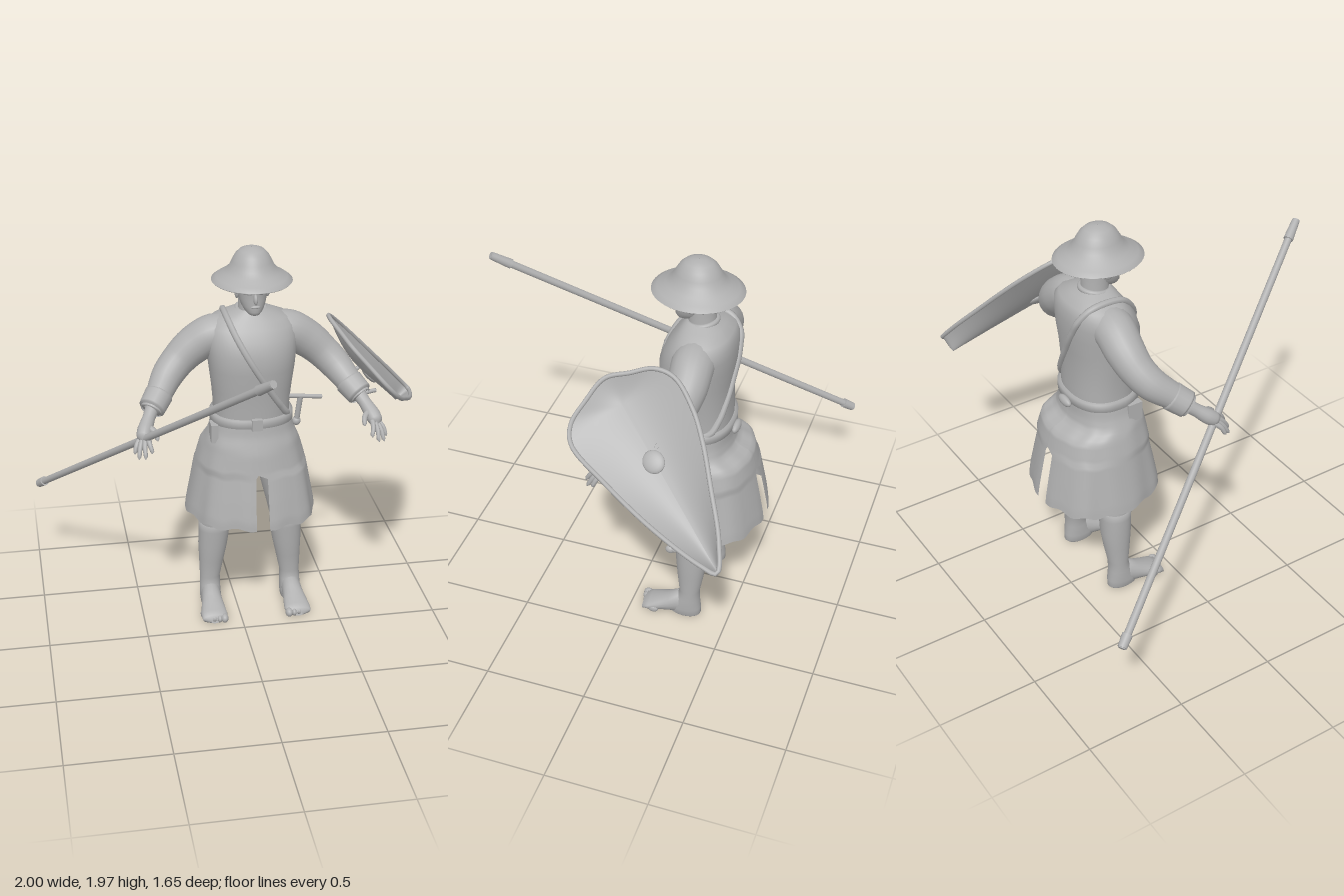
import * as THREE from 'three';

const V = (x, y, z) => new THREE.Vector3(x, y, z);
const mat = new THREE.MeshStandardMaterial({ color: 0xb0b0b0, side: THREE.DoubleSide });
mat.name = 'plain grey';

function add(group, name, geometry) {
  const mesh = new THREE.Mesh(geometry, mat);
  mesh.name = name;
  group.add(mesh);
  return mesh;
}

// Smooth surface from rows of points; closed wraps each row
function skin(rows, closed) {
  const n = rows[0].length, pos = [], idx = [];
  rows.forEach(r => r.forEach(p => pos.push(p.x, p.y, p.z)));
  for (let i = 0; i < rows.length - 1; i++)
    for (let j = 0; j < (closed ? n : n - 1); j++) {
      const a = i * n + j, b = i * n + (j + 1) % n;
      idx.push(a, b, a + n, b, b + n, a + n);
    }
  const g = new THREE.BufferGeometry();
  g.setAttribute('position', new THREE.Float32BufferAttribute(pos, 3));
  g.setIndex(idx);
  g.computeVertexNormals();
  return g;
}

// Sections are [y, halfWidth, frontZ, backZ, centreX = 0]
function sectionAt(list, y) {
  let i = 0;
  const up = list[1][0] > list[0][0];
  while (i < list.length - 2 && (up ? y > list[i + 1][0] : y < list[i + 1][0])) i++;
  const a = list[i], b = list[i + 1], t = (y - a[0]) / (b[0] - a[0]);
  return a.map((v, k) => v + (b[k] - v) * t);
}
function around([y, w, f, b, cx = 0], ang, e = 2.3) {
  const p = v => Math.sign(v) * Math.abs(v) ** (2 / e);
  return V(cx + w * p(Math.sin(ang)), y, (f + b) / 2 + (f - b) / 2 * p(Math.cos(ang)));
}
function loft(list, e = 2.2, n = 40) {
  const rows = list.map(s => Array.from({ length: n }, (_, j) => around(s, j / n * Math.PI * 2, e)));
  return skin(rows, true);
}

// Tube along [x, y, z, radius] points
function limb(points, seg = 24, sides = 16) {
  const curve = new THREE.CatmullRomCurve3(points.map(p => V(p[0], p[1], p[2])));
  const { normals, binormals } = curve.computeFrenetFrames(seg);
  const rows = [];
  for (let i = 0; i <= seg; i++) {
    const t = curve.getUtoTmapping(i / seg) * (points.length - 1);
    const k = Math.min(Math.floor(t), points.length - 2);
    const r = THREE.MathUtils.lerp(points[k][3], points[k + 1][3], t - k);
    const c = curve.getPointAt(i / seg);
    rows.push(Array.from({ length: sides }, (_, j) => {
      const a = j / sides * Math.PI * 2;
      return c.clone().addScaledVector(normals[i], r * Math.cos(a)).addScaledVector(binormals[i], r * Math.sin(a));
    }));
  }
  return skin(rows, true);
}

function ball(group, name, x, y, z, rx, ry, rz) {
  const m = add(group, name, new THREE.SphereGeometry(1, 20, 14));
  m.position.set(x, y, z);
  m.scale.set(rx, ry, rz);
  return m;
}
function box(group, name, x, y, z, w, h, d) {
  const m = add(group, name, new THREE.BoxGeometry(w, h, d));
  m.position.set(x, y, z);
  return m;
}
function rod(group, name, a, b, r0, r1 = r0) {
  const m = add(group, name, new THREE.CylinderGeometry(r1, r0, a.distanceTo(b), 16));
  m.position.copy(a).lerp(b, 0.5);
  m.quaternion.setFromUnitVectors(V(0, 1, 0), b.clone().sub(a).normalize());
  return m;
}

const TORSO = [[1.08, .19, -.11, -.425], [1.16, .19, -.105, -.425], [1.25, .198, -.1, -.42], [1.36, .212, -.085, -.425],
  [1.45, .222, -.085, -.435], [1.52, .228, -.11, -.435], [1.57, .22, -.14, -.43], [1.605, .185, -.165, -.415],
  [1.635, .115, -.185, -.375], [1.655, .072, -.2, -.34]];
const SKIRT = [[1.09, .2, -.1, -.435], [1.03, .212, -.092, -.437], [.975, .235, -.075, -.45], [.94, .25, -.065, -.53],
  [.85, .275, -.05, -.553], [.7, .302, -.02, -.585], [.6, .32, -.002, -.605], [.56, .325, 0, -.61]];

function buildHead(body) {
  add(body, 'neck', loft([[1.56, .075, -.19, -.35], [1.64, .064, -.205, -.335], [1.75, .062, -.2, -.335]], 2));
  add(body, 'head', loft([[1.643, .004, -.17, -.18], [1.648, .026, -.15, -.22], [1.665, .044, -.142, -.26], [1.69, .058, -.142, -.3],
    [1.72, .067, -.142, -.322], [1.75, .071, -.143, -.334], [1.775, .073, -.138, -.338], [1.82, .073, -.145, -.335], [1.88, .05, -.18, -.3]], 2.1));
  const nose = ball(body, 'nose', 0, 1.733, -.14, .011, .027, .018);
  nose.rotation.x = -.3;
  ball(body, 'brow', 0, 1.777, -.146, .05, .01, .014);
  ball(body, 'lips', 0, 1.693, -.143, .023, .008, .009);
  for (const s of [-1, 1]) {
    ball(body, 'eye', s * .028, 1.76, -.149, .014, .007, .012);
    ball(body, 'ear', s * .075, 1.745, -.24, .011, .034, .022);
  }
  // Domed hat with a wide sloping brim
  const profile = [[.06, 1.9], [.085, 1.835], [.15, 1.81], [.19, 1.796], [.196, 1.802], [.172, 1.82], [.135, 1.842], [.11, 1.868],
    [.098, 1.895], [.08, 1.928], [.058, 1.95], [.03, 1.961], [.001, 1.964]];
  const hat = add(body, 'hat', new THREE.LatheGeometry(profile.map(p => new THREE.Vector2(...p)), 48));
  hat.scale.z = 1.1;
  hat.position.z = -.247;
}

function buildTorso(body) {
  add(body, 'torso', loft(TORSO, 2.3, 48));
  const collar = add(body, 'collar', new THREE.TorusGeometry(.069, .013, 10, 32));
  collar.rotation.x = Math.PI / 2 + .15;
  collar.position.set(0, 1.645, -.27);
  // Shoulder strap wrapped over the torso front and back
  const path = [];
  for (const front of [true, false])
    for (let i = 0; i <= 8; i++) {
      const t = front ? i / 8 : 1 - i / 8;
      const x = -.125 + .29 * t ** 1.15, y = 1.618 - .5 * t;
      const [, w, f, b] = sectionAt(TORSO, y);
      const k = (1 - Math.min(1, Math.abs(x / w)) ** 2.3) ** (1 / 2.3);
      path.push(V(x, y, (f + b) / 2 + (front ? 1 : -1) * (f - b) / 2 * k));
    }
  add(body, 'shoulderStrap', new THREE.TubeGeometry(new THREE.CatmullRomCurve3(path, true), 90, .017, 8, true));

  // Belt and the things hung on it
  add(body, 'belt', loft([[1.075, .19, -.11, -.42], [1.077, .209, -.092, -.442], [1.118, .207, -.093, -.442], [1.12, .185, -.11, -.42]], 2.3, 48));
  box(body, 'buckle', 0, 1.1, -.09, .052, .058, .025);
  box(body, 'pouch', -.2, 1.035, -.19, .035, .095, .075);
  ball(body, 'beltKnot', 0, 1.075, -.45, .05, .025, .02);
  rod(body, 'daggerGuard', V(.17, 1.197, -.2), V(.35, 1.172, -.22), .011);
  rod(body, 'daggerGrip', V(.225, 1.04, -.23), V(.24, 1.185, -.21), .014);
  ball(body, 'daggerPommel', .225, 1.045, -.23, .022, .024, .022);

  // Skirt halves, slit at the front and back below the hips
  for (const s of [-1, 1]) {
    const rows = [], n = 64;
    for (let i = 0; i <= 30; i++) {
      const y = 1.09 - .53 * i / 30, sec = sectionAt(SKIRT, y), drop = i / 30;
      const gap = y < .84 ? .07 : 0;
      const row = [];
      for (let j = 0; j <= n; j++) {
        const ang = gap + (Math.PI - 2 * gap) * j / n;
        const fold = 1 + .022 * drop * Math.cos(ang * 8);
        const p = around(sec, s * ang, 2.35), cz = (sec[2] + sec[3]) / 2;
        p.x = p.x * fold + (gap ? .018 * Math.cos(ang) : 0);
        p.z = cz + (p.z - cz) * Math.min(fold, 1.005);
        p.y -= .008 * drop * Math.sin(ang * 13);
        row.push(p);
      }
      rows.push(row);
    }
    add(body, 'skirtHalf', skin(rows, false));
  }
}

function buildArm(body, s) {
  const arm = new THREE.Group();
  arm.name = s < 0 ? 'rightArm' : 'leftArm';
  body.add(arm);
  const m = (x, y, z, r) => [s * x, y, z, r];
  add(arm, 'sleeve', limb([m(.1, 1.515, -.28, .1), m(.19, 1.515, -.285, .1), m(.285, 1.46, -.29, .094), m(.36, 1.395, -.275, .084),
    m(.42, 1.335, -.235, .078), m(.475, 1.268, -.155, .064), m(.52, 1.215, -.095, .054)], 36, 20));
  add(arm, 'cuff', limb([m(.468, 1.275, -.165, .06), m(.47, 1.272, -.162, .071), m(.517, 1.222, -.1, .065), m(.52, 1.219, -.097, .035)], 12));
  add(arm, 'palm', limb([m(.51, 1.225, -.11, .034), m(.535, 1.19, -.065, .031), m(.56, 1.15, -.015, .038), m(.572, 1.125, .02, .034), m(.576, 1.115, .032, .008)], 14));
  const tips = [[.617, 1.06, .045], [.6, 1.045, .075], [.57, 1.052, .093], [.537, 1.077, .09]];
  tips.forEach(([x, y, z], i) => {
    const bx = .588 - i * .013, by = 1.118 + i * .006, bz = .005 + i * .01;
    add(arm, 'finger', limb([m(bx, by, bz, .014), m((x + bx) / 2 + .004, (y + by) / 2 + .006, (z + bz) / 2 + .004, .012), m(x, y, z, .009), m(x + .002, y - .004, z + .003, .001)], 8, 8));
  });
  add(arm, 'thumb', limb([m(.545, 1.165, -.02, .017), m(.515, 1.15, .015, .015), m(.507, 1.125, .05, .01), m(.506, 1.12, .055, .001)], 8, 8));
}

function buildLeg(body, s) {
  const leg = new THREE.Group();
  leg.name = s < 0 ? 'rightLeg' : 'leftLeg';
  body.add(leg);
  add(leg, 'thigh', loft([[1.0, .1 , -.17, -.4, s * .1], [.75, .098, -.17, -.39, s * .14], [.56, .082, -.205, -.372, s * .172], [.45, .072, -.225, -.37, s * .187]], 2));
  add(leg, 'shin', loft([[.476, .066, -.228, -.37, s * .187], [.475, .08, -.217, -.38, s * .187], [.44, .08, -.22, -.378, s * .188], [.35, .075, -.226, -.378, s * .195],
    [.26, .064, -.236, -.368, s * .203], [.16, .052, -.25, -.352, s * .212], [.11, .053, -.24, -.352, s * .213], [.05, .055, -.2, -.36, s * .213],
    [.012, .05, -.2, -.36, s * .213], [0, .04, -.21, -.35, s * .213]], 2.1));
  // Foot as sections from heel to ball: [z, halfWidth, height]
  const rows = [[-.34, .03, .06], [-.3, .048, .12], [-.25, .05, .135], [-.2, .054, .105], [-.15, .062, .08], [-.1, .068, .058], [-.07, .064, .045], [-.062, .02, .02]]
    .map(([z, w, h]) => Array.from({ length: 20 }, (_, j) => {
      const a = j / 20 * Math.PI * 2;
      return V(s * (.213 + (z + .3) * .03) + w * Math.cos(a), h * (.5 + .5 * Math.sin(a)), z);
    }));
  add(leg, 'foot', skin(rows, true));
  for (let i = 0; i < 5; i++)
    ball(leg, 'toe', s * (.17 + i * .026), .022, -.07 - .006 * i * i * .6, i ? .0135 : .019, i ? .02 : .023, .026);
}

function buildShield(root) {
  const shield = new THREE.Group();
  shield.name = 'shield';
  root.add(shield);
  const normal = V(.74, .67, 0);
  const onPlane = (y, z) => V(.447 + (1.604 - y) * .9, y, z);
  const outline = [[1.6, -.165], [1.57, -.06], [1.536, .047], [1.45, .11], [1.365, .152], [1.3, .13], [1.2, -.06], [1.09, -.315], [1.01, -.56],
    [.998, -.637], [1.1, -.615], [1.26, -.53], [1.4, -.45], [1.495, -.377], [1.585, -.264]];
  const rimCurve = new THREE.CatmullRomCurve3(outline.map(p => onPlane(...p)), true);
  const rim = rimCurve.getSpacedPoints(96).slice(0, 96);
  // Dish sinking from the rim to a long central ridge
  const a = onPlane(1.46, -.05), b = onPlane(1.005, -.615), ab = b.clone().sub(a);
  const rows = [];
  for (let i = 0; i <= 10; i++) {
    const q = i / 10;
    rows.push(rim.map(p => {
      const u = THREE.MathUtils.clamp(p.clone().sub(a).dot(ab) / ab.lengthSq(), 0, 1);
      const base = a.clone().addScaledVector(ab, u);
      return p.clone().lerp(base, q).addScaledVector(normal, -(.052 + .036 * u) * Math.sin(q * Math.PI / 2));
    }));
  }
  add(shield, 'shieldDish', skin(rows, true));
  add(shield, 'shieldRim', new THREE.TubeGeometry(rimCurve, 120, .011, 8, true));
  const boss = ball(shield, 'shieldBoss', .672, 1.262, -.24, .055, .05, .018);
  boss.quaternion.setFromUnitVectors(V(0, 0, 1), normal.clone().normalize());
  // Grip strap around the forearm
  add(shield, 'gripStrap', new THREE.TubeGeometry(new THREE.CatmullRomCurve3([V(.63, 1.32, -.24), V(.54, 1.24, -.22), V(.56, 1.2, -.16), V(.68, 1.23, -.12)]), 20, .011, 8));
}

function buildSpear(root) {
  const spear = new THREE.Group();
  spear.name = 'pole';
  root.add(spear);
  const lo = V(-.982, .513, -.81), hi = V(-.018, 1.707, .815);
  const at = t => lo.clone().lerp(hi, t);
  rod(spear, 'shaft', lo, hi, .018);
  rod(spear, 'lowerCap', at(.002), at(.03), .022, .025);
  rod(spear, 'upperCap', at(.95), at(.998), .024, .019);
}

export function createModel() {
  const root = new THREE.Group();
  root.name = 'footSoldier';
  const body = new THREE.Group();
  body.name = 'body';
  body.position.x = .077;
  root.add(body);
  buildHead(body);
  buildTorso(body);
  for (const s of [-1, 1]) {
    buildArm(body, s);
    buildLeg(body, s);
  }
  buildShield(root);
  buildSpear(root);
  return root;
}
